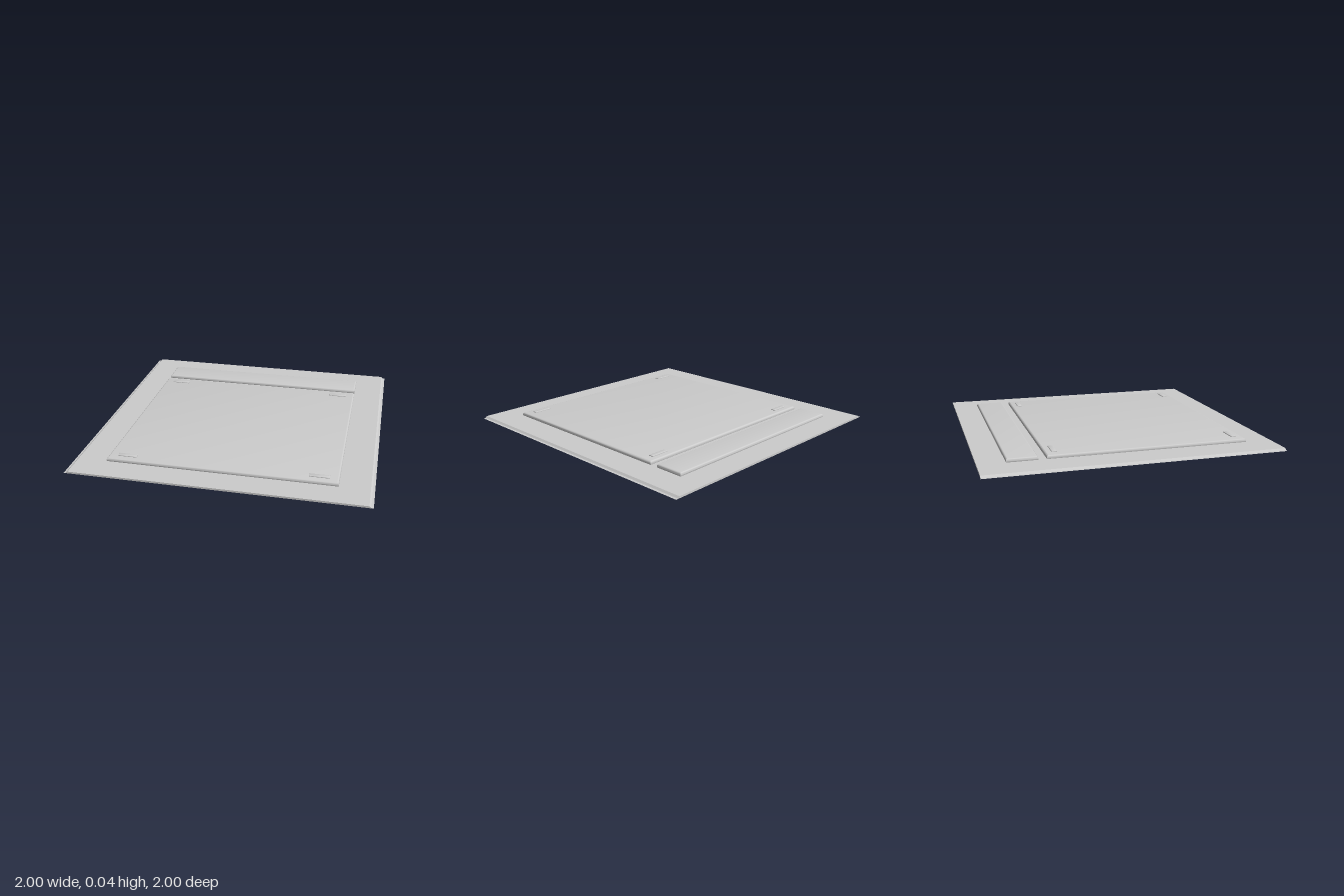
import * as THREE from 'three';
import { toCreasedNormals } from 'three/addons/utils/BufferGeometryUtils.js';

const material = new THREE.MeshStandardMaterial({ color: 0xcccccc });

// Flat slab with rounded rims, lying between two heights
function slab(name, x0, x1, z0, z1, y0, y1, round) {
  const r = round;
  const shape = new THREE.Shape([
    new THREE.Vector2(x0 + r, -z1 + r), new THREE.Vector2(x1 - r, -z1 + r),
    new THREE.Vector2(x1 - r, -z0 - r), new THREE.Vector2(x0 + r, -z0 - r),
  ]);
  const geometry = new THREE.ExtrudeGeometry(shape, {
    depth: y1 - y0 - 2 * r, bevelThickness: r, bevelSize: r, bevelSegments: 4,
  });
  geometry.rotateX(-Math.PI / 2).translate(0, y0 + r, 0);
  const mesh = new THREE.Mesh(toCreasedNormals(geometry, 0.6), material);
  mesh.name = name;
  return mesh;
}

export function createModel() {
  const model = new THREE.Group();
  model.name = 'panelledMat';

  // Base sheet: thin lips along both sides, square ends
  const section = new THREE.Shape([
    [-1, 0], [1, 0], [0.985, 0.002], [0.973, 0.013], [-0.973, 0.013], [-0.985, 0.002],
  ].map(([x, y]) => new THREE.Vector2(x, y)));
  const baseGeometry = new THREE.ExtrudeGeometry(section, { depth: 2, bevelEnabled: false });
  baseGeometry.translate(0, 0, -1);
  const base = new THREE.Mesh(baseGeometry, material);
  base.name = 'baseSheet';
  model.add(base);

  // Raised panels, sunk slightly into the base
  model.add(slab('mainPanel', -0.773, 0.773, -0.56, 0.818, 0.003, 0.036, 0.013));
  model.add(slab('rearPanel', -0.773, 0.773, -0.818, -0.615, 0.003, 0.036, 0.013));

  // Small pads at the corners of the main panel
  for (const side of [-1, 1]) {
    for (const z of [-0.499, 0.755]) {
      const pad = slab('cornerPad', -0.066, 0.066, -0.017, 0.017, 0.03, 0.042, 0.004);
      pad.position.set(side * 0.645, 0, z);
      model.add(pad);
    }
  }
  return model;
}
